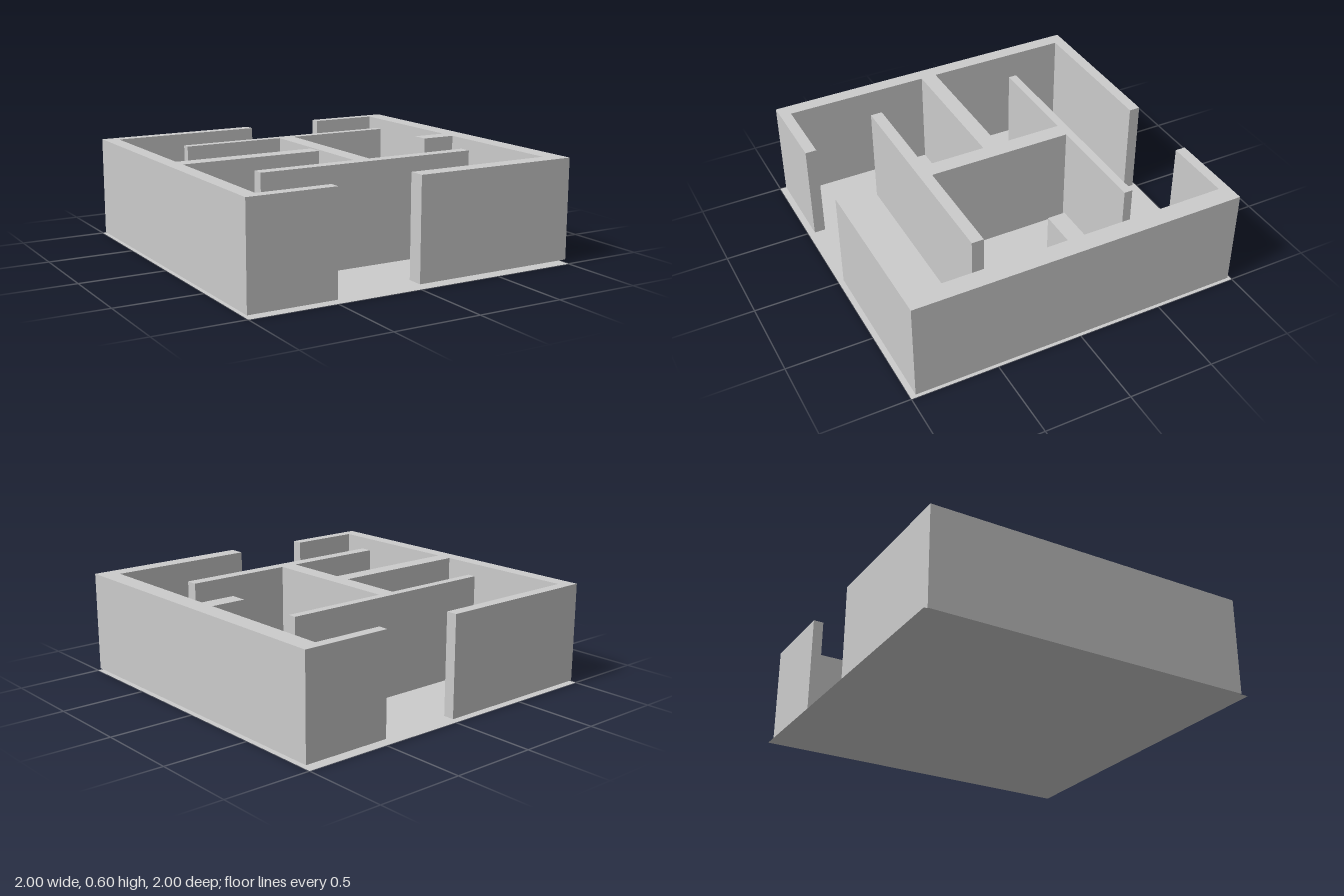
import * as THREE from 'three';

const material = new THREE.MeshStandardMaterial({ color: 0xcccccc });

// Extrudes a floor-plan outline of [x, z] corners upward from bottom to top
function wall(name, plan, bottom, top) {
  const shape = new THREE.Shape(plan.map(([x, z]) => new THREE.Vector2(x, -z)));
  const geometry = new THREE.ExtrudeGeometry(shape, { depth: top - bottom, bevelEnabled: false });
  geometry.rotateX(-Math.PI / 2).translate(0, bottom, 0);
  const mesh = new THREE.Mesh(geometry, material);
  mesh.name = name;
  return mesh;
}

export function createModel() {
  const group = new THREE.Group();
  group.name = 'floorPlan';

  // Paper-thin floor
  const floorMaterial = material.clone();
  floorMaterial.side = THREE.DoubleSide;
  const floor = new THREE.Mesh(new THREE.PlaneGeometry(2, 2).rotateX(-Math.PI / 2), floorMaterial);
  floor.name = 'floor';
  group.add(floor);

  // E-shaped outer wall with a long middle partition
  group.add(wall('rightOuterWall', [
    [-0.99, -0.975], [-0.005, -0.975], [-0.005, -0.91], [-0.905, -0.91],
    [-0.905, -0.05], [-0.06, -0.05], [-0.06, 0.045], [-0.905, 0.045],
    [-0.905, 0.9], [-0.48, 0.9], [-0.48, 0.965], [-0.99, 0.965],
  ], 0.01, 0.59));

  // Opposite outer wall with a short middle stub
  group.add(wall('leftOuterWall', [
    [0.998, -0.97], [0.475, -0.97], [0.475, -0.91], [0.887, -0.91],
    [0.887, -0.06], [0.68, -0.06], [0.68, 0.04], [0.887, 0.04],
    [0.887, 0.88], [0.01, 0.88], [0.01, 0.975], [0.998, 0.975],
  ], 0.02, 0.6));

  // H-shaped inner partition
  group.add(wall('innerPartition', [
    [-0.663, -0.49], [0.675, -0.49], [0.675, -0.44], [0.045, -0.44],
    [0.045, 0.417], [0.675, 0.417], [0.675, 0.487], [-0.663, 0.487],
    [-0.663, 0.417], [-0.055, 0.417], [-0.055, -0.44], [-0.663, -0.44],
  ], 0.005, 0.595));

  return group;
}
